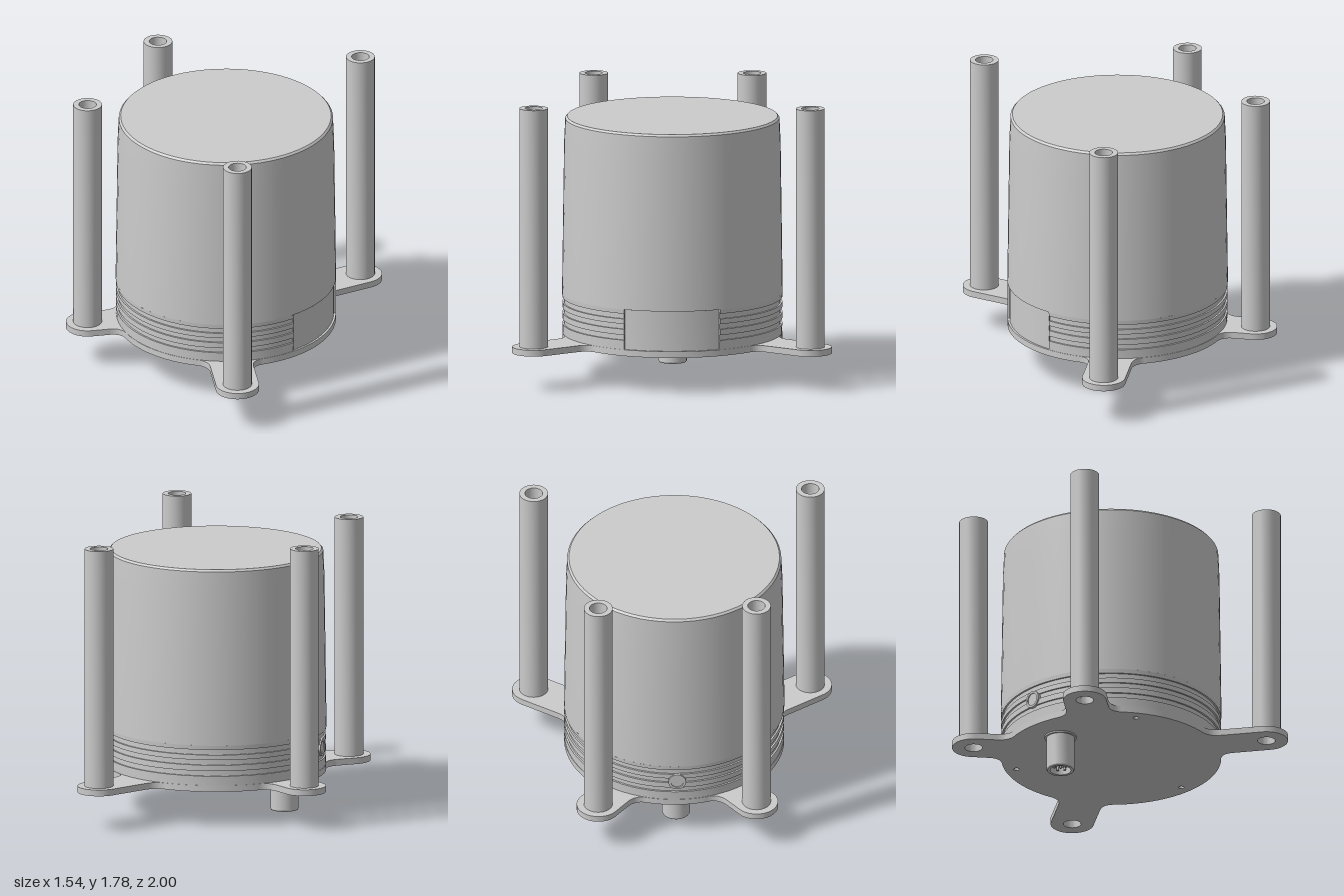
import * as THREE from 'three';
import { toCreasedNormals } from 'three/addons/utils/BufferGeometryUtils.js';

const CX = 0.08;            // housing axis
const PLATE_TOP = 0.27, PLATE_BOTTOM = 0.23, PLATE_R = 0.688;
const EAR_R = 0.135, POST_R = 0.09, BORE_R = 0.055, POST_TOP = 1.785;
// post positions (x, z), in order of angle around the housing
const POSTS = [[0.59, 0.865], [-0.64, 0.495], [-0.64, -0.495], [0.59, -0.865]];

const material = new THREE.MeshStandardMaterial({ color: 0xcccccc });
const thinMaterial = new THREE.MeshStandardMaterial({ color: 0xcccccc, side: THREE.DoubleSide });

function add(parent, name, geometry, x = 0, y = 0, z = 0, mat = material) {
  const mesh = new THREE.Mesh(geometry, mat);
  mesh.name = name;
  mesh.position.set(x, y, z);
  parent.add(mesh);
  return mesh;
}

function lathe(profile, segments = 32, start = 0, length = Math.PI * 2) {
  const points = profile.map(([r, y]) => new THREE.Vector2(r, y));
  return toCreasedNormals(new THREE.LatheGeometry(points, segments, start, length), 0.5);
}

function hole(shape, x, y, r) {
  const path = new THREE.Path();
  path.absarc(x, y, r, 0, Math.PI * 2, true);
  shape.holes.push(path);
}

// Round plate with four filleted ears
function plateGeometry() {
  const shape = new THREE.Shape();
  const centre = new THREE.Vector2(CX, 0);
  const fillet = 0.08;
  let lastAngle = null, firstAngle = null;

  for (const [px, pz] of POSTS) {
    const theta = Math.atan2(pz, px);
    const dir = new THREE.Vector2(Math.cos(theta), Math.sin(theta));
    // where each straight ear edge meets the round plate
    const [a, b] = [-1, 1].map((side) => {
      const q = new THREE.Vector2(px - side * EAR_R * dir.y - CX, pz + side * EAR_R * dir.x);
      const k = q.dot(dir);
      const t = -k + Math.sqrt(k * k - q.lengthSq() + PLATE_R * PLATE_R);
      q.addScaledVector(dir, t);
      const corner = q.clone().add(centre);
      return {
        corner,
        edge: corner.clone().addScaledVector(dir, fillet),
        angle: Math.atan2(q.y, q.x) + side * fillet / PLATE_R,
      };
    });
    if (lastAngle === null) {
      firstAngle = a.angle;
      shape.moveTo(CX + PLATE_R * Math.cos(a.angle), PLATE_R * Math.sin(a.angle));
    } else {
      shape.absarc(CX, 0, PLATE_R, lastAngle, a.angle, false);
    }
    shape.quadraticCurveTo(a.corner.x, a.corner.y, a.edge.x, a.edge.y);
    shape.absarc(px, pz, EAR_R, theta - Math.PI / 2, theta + Math.PI / 2, false);
    shape.lineTo(b.edge.x, b.edge.y);
    shape.quadraticCurveTo(b.corner.x, b.corner.y,
      CX + PLATE_R * Math.cos(b.angle), PLATE_R * Math.sin(b.angle));
    lastAngle = b.angle;
    hole(shape, px, pz, BORE_R);
  }
  shape.absarc(CX, 0, PLATE_R, lastAngle, firstAngle, false);

  // three small screw holes
  for (let i = 0; i < 3; i++) {
    const a = i * Math.PI * 2 / 3;
    hole(shape, CX + 0.615 * Math.cos(a), 0.615 * Math.sin(a), 0.018);
  }
  const geometry = new THREE.ExtrudeGeometry(shape, {
    depth: PLATE_TOP - PLATE_BOTTOM, bevelEnabled: false, curveSegments: 20,
  });
  geometry.rotateX(Math.PI / 2);
  return toCreasedNormals(geometry, 0.5);
}

function createHousing() {
  const housing = new THREE.Group();
  housing.name = 'housing';
  housing.position.x = CX;
  const bandTop = 0.525, recessR = 0.675, half = 0.45;

  // tapered upper shell with bevelled lid
  add(housing, 'upperShell', lathe([
    [0.69, bandTop], [0.677, 1.48], [0.67, 1.632], [0.658, 1.645], [0, 1.645],
  ], 72));

  // grooved lower band, interrupted by the recess on the +x side
  const band = [[0.686, PLATE_TOP]];
  for (const y of [0.33, 0.4, 0.465]) {
    band.push([0.688, y], [0.677, y], [0.677, y + 0.033], [0.688, y + 0.033]);
  }
  band.push([0.69, bandTop]);
  add(housing, 'groovedBand', lathe(band, 64, Math.PI / 2 + half, Math.PI * 2 - 2 * half));

  // shallow label recess with its ledge and side walls
  add(housing, 'recess', lathe([[recessR, PLATE_TOP], [recessR, bandTop], [0.69, bandTop]],
    12, Math.PI / 2 - half, 2 * half), 0, 0, 0, thinMaterial);
  for (const a of [-half, half]) {
    const wall = add(housing, 'recessWall', new THREE.PlaneGeometry(0.013, bandTop - PLATE_TOP),
      0.681 * Math.cos(a), (bandTop + PLATE_TOP) / 2, 0.681 * Math.sin(a), thinMaterial);
    wall.rotation.y = -a;
  }

  // round port on the -x side: rim around a plug
  const port = add(housing, 'portRim', lathe([
    [0, 0], [0.04, 0], [0.04, 0.006], [0.055, 0.006], [0.055, -0.03],
  ].reverse(), 28), -0.689, 0.41, 0);
  port.rotation.z = Math.PI / 2;
  return housing;
}

// Round socket under the plate, open at the bottom, with contact pins
function createConnector() {
  const connector = new THREE.Group();
  connector.name = 'connector';
  connector.position.x = -0.365;
  add(connector, 'connectorShell', lathe([
    [0, 0.05], [0.065, 0.05], [0.065, 0], [0.083, 0], [0.088, 0.008],
    [0.088, 0.22], [0.1, 0.22], [0.1, PLATE_BOTTOM],
  ]));
  const pin = new THREE.CylinderGeometry(0.008, 0.008, 0.04, 10);
  for (let i = 0; i < 5; i++) {
    const a = i * Math.PI * 2 / 5;
    add(connector, 'contactPin', pin, 0.038 * Math.cos(a), 0.035, 0.038 * Math.sin(a));
  }
  add(connector, 'contactPin', pin, 0, 0.035, 0);
  return connector;
}

export function createModel() {
  const model = new THREE.Group();
  model.name = 'sensorUnit';
  add(model, 'mountingPlate', plateGeometry(), 0, PLATE_TOP, 0);
  model.add(createHousing(), createConnector());

  // hollow standoff posts
  const post = lathe([
    [POST_R, PLATE_TOP], [POST_R, POST_TOP], [BORE_R, POST_TOP], [BORE_R, PLATE_TOP],
  ], 32);
  for (const [x, z] of POSTS) add(model, 'standoffPost', post, x, 0, z);
  return model;
}
